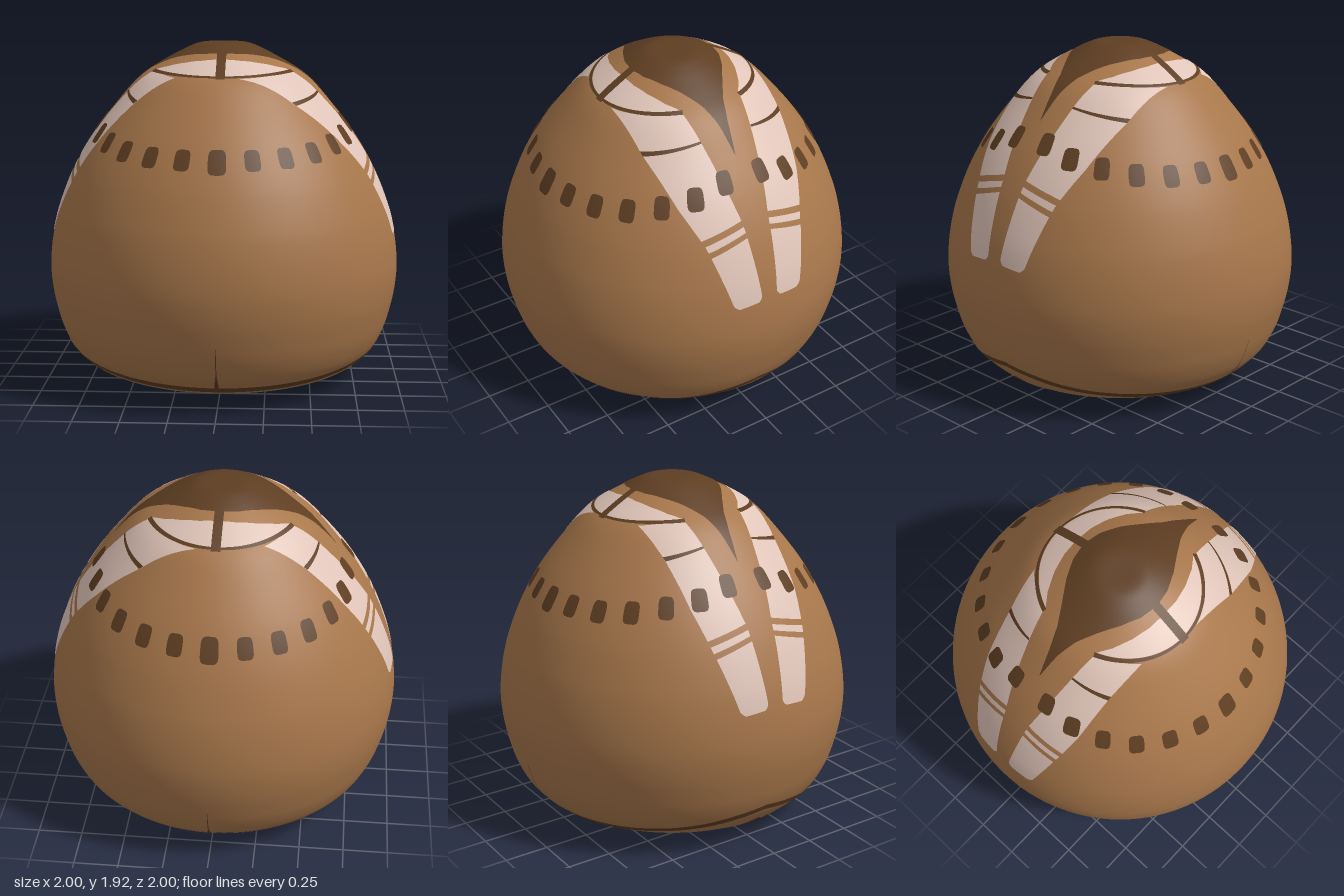
import * as THREE from 'three';

const mat = (name, color) => {
  const m = new THREE.MeshStandardMaterial({ color, side: THREE.DoubleSide });
  m.name = name;
  return m;
};

// Piecewise linear lookup through [x, value] pairs with ascending x
const lut = (pts) => (x) => {
  let i = 1;
  while (i < pts.length - 1 && x > pts[i][0]) i++;
  const [a, b] = [pts[i - 1], pts[i]];
  const t = THREE.MathUtils.clamp((x - a[0]) / (b[0] - a[0]), 0, 1);
  return a[1] + (b[1] - a[1]) * t;
};
const lerp = THREE.MathUtils.lerp;

// Shell profile, radius and height, from the open base to the crown
const BULGE = 0.65, HOLE = 0.283;
const profile = new THREE.CatmullRomCurve3([
  [HOLE, 0.004], [0.5, 0.03], [0.68, 0.06], [0.78, 0.1], [0.84, 0.15], [0.885, 0.2], [0.935, 0.3],
  [0.965, 0.4], [0.99, 0.52], [1, BULGE], [0.99, 0.78], [0.968, 0.9], [0.94, 1], [0.86, 1.2], [0.745, 1.4],
  [0.59, 1.6], [0.5, 1.7], [0.44, 1.75], [0.36, 1.8], [0.27, 1.85], [0.2, 1.885], [0.13, 1.91], [0, 1.913],
].map(([r, y]) => new THREE.Vector3(r, y, 0))).getSpacedPoints(160);

// Point on the profile, raised along its normal
function raised(i, t, angle, lift) {
  const a = profile[i], b = profile[i + 1];
  const n = new THREE.Vector2(b.y - a.y, a.x - b.x).normalize();
  const r = Math.max(0, lerp(a.x, b.x, t) + n.x * lift);
  return new THREE.Vector3(r * Math.sin(angle), lerp(a.y, b.y, t) + n.y * lift, r * Math.cos(angle));
}

// Angle is measured from the front (+z) towards +x
function atHeight(angle, y, lift) {
  let i = 0;
  while (i < profile.length - 2 && profile[i + 1].y < y) i++;
  const t = (y - profile[i].y) / (profile[i + 1].y - profile[i].y);
  return raised(i, THREE.MathUtils.clamp(t, 0, 1), angle, lift);
}

// Drops a plan position onto the upper or lower half of the shell
function atPlan(x, z, upper, lift) {
  const r = Math.hypot(x, z), angle = Math.atan2(x, z);
  let i = upper ? profile.length - 2 : 0;
  if (upper) while (i > 0 && profile[i].x < r) i--;
  else while (profile[i + 1].x < r && profile[i + 1].y < BULGE) i++;
  const t = (r - profile[i].x) / (profile[i + 1].x - profile[i].x);
  return raised(i, THREE.MathUtils.clamp(t, 0, 1), angle, lift);
}

// Projects a side-view position onto the +x or -x flank
function atSide(side, y, z, lift) {
  const r = atHeight(0, y, 0).z;
  return atHeight(side * Math.acos(THREE.MathUtils.clamp(z / r, -1, 1)), y, lift);
}

// Painted patch: a grid whose points all lie on the shell
function patch(parent, name, material, nu, nv, fn) {
  const pos = [], index = [];
  for (let j = 0; j <= nv; j++) for (let i = 0; i <= nu; i++) {
    pos.push(...fn(i / nu, j / nv).toArray());
    if (i < nu && j < nv) {
      const a = j * (nu + 1) + i, b = a + nu + 1;
      index.push(a, a + 1, b, b, a + 1, b + 1);
    }
  }
  const g = new THREE.BufferGeometry();
  g.setAttribute('position', new THREE.Float32BufferAttribute(pos, 3));
  g.setIndex(index);
  g.computeVertexNormals();
  const mesh = new THREE.Mesh(g, material);
  mesh.name = name;
  parent.add(mesh);
}

export function createModel() {
  const model = new THREE.Group();
  model.name = 'domedShell';
  const tan = mat('tan shell', 0xa8774b);
  const brown = mat('brown markings', 0x5e3e22);
  const pink = mat('pale pink bands', 0xe0c5b9);

  // Hollow shell, open at the base
  const shell = new THREE.Mesh(
    new THREE.LatheGeometry(profile.map((p) => new THREE.Vector2(Math.max(0, p.x), p.y)), 128), tan);
  shell.name = 'shell';
  model.add(shell);

  // Seam that peaks on both flanks, with a thin spike at front and back
  const seamHeight = lut([[0, 0.25], [0.2, 0.222], [0.38, 0.19], [0.55, 0.165], [0.75, 0.142], [1, 0.122]]);
  patch(model, 'seam', brown, 160, 4, (u, v) => {
    const a = u * Math.PI * 2;
    return atHeight(a, seamHeight(Math.abs(Math.cos(a))) + lerp(-0.017, 0.018, v), 0.003);
  });
  const spikeWidth = lut([[0.12, 0.016], [0.19, 0.009], [0.23, 0.003], [0.39, 0.0015]]);
  for (const a of [0, Math.PI]) {
    patch(model, 'seamSpike', brown, 2, 16, (u, v) => {
      const y = lerp(0.12, 0.39, v);
      return atHeight(a + (u * 2 - 1) * spikeWidth(y), y, 0.003);
    });
  }

  // Pointed lens on the underside, around the opening
  for (const sz of [1, -1]) {
    patch(model, 'undersideLens', brown, 170, 20, (u, v) => {
      const s = u * 2 - 1, x = 0.85 * s;
      const inner = Math.sqrt(Math.max(0, HOLE * HOLE - x * x));
      return atPlan(x, sz * lerp(inner, 0.53 * (1 - Math.abs(s) ** 2.2), v), false, 0.003);
    });
  }

  // Pointed crown patch
  const crownZ = lut([[0, 0.255], [0.1, 0.237], [0.2, 0.19], [0.3, 0.125], [0.4, 0.065], [0.5, 0.028], [0.62, 0]]);
  patch(model, 'crown', brown, 100, 40, (u, v) => {
    const x = 0.62 * (u * 2 - 1);
    return atPlan(x, crownZ(Math.abs(x)) * (v * 2 - 1), true, 0.003);
  });

  // Collar pieces and flank bands, mirrored in x and z
  const collarInner = lut([[0, 0.305], [0.1, 0.3], [0.2, 0.275], [0.3, 0.23], [0.37, 0.18]]);
  const collarR = (x) => 0.44 - 0.03 * (x / 0.37) ** 2;
  const bandInner = lut([[0.86, 0.045], [1.28, 0.08], [1.52, 0.13], [1.7, 0.165], [1.8, 0.19]]);
  const outerLeft = lut([[0.86, 0.21], [1.2, 0.3], [1.38, 0.375], [1.6, 0.435], [1.75, 0.445]]);
  const outerRight = lut([[0.86, 0.21], [1.2, 0.3], [1.38, 0.34], [1.6, 0.36], [1.75, 0.385]]);
  for (const sx of [1, -1]) for (const sz of [1, -1]) {
    const quarter = new THREE.Group();
    quarter.name = (sz > 0 ? 'front' : 'back') + (sx > 0 ? 'Left' : 'Right') + 'Band';
    model.add(quarter);
    patch(quarter, 'collarPiece', pink, 30, 12, (u, v) => {
      const x = lerp(0.02, 0.37, u);
      return atPlan(sx * x, sz * lerp(collarInner(x), Math.sqrt(collarR(x) ** 2 - x * x), v), true, 0.003);
    });
    patch(quarter, 'collarEdge', brown, 30, 2, (u, v) => {
      const a = u * 1.14, r = collarR(0.41 * Math.sin(a)) + lerp(0.012, 0.022, u) * v;
      return atPlan(sx * r * Math.sin(a), sz * r * Math.cos(a), true, 0.005);
    });

    // Band pieces: top and bottom heights at the inner and outer edges
    const outer = sx > 0 ? outerLeft : outerRight;
    const piece = (name, m, lift, top, bottom, rounded = 0) =>
      patch(quarter, name, m, 16, 30, (u, v) => {
        const y = lerp(lerp(top[0], top[1], u), lerp(bottom[0], bottom[1], u), v);
        const inset = rounded * Math.max(0, (v - 0.9) / 0.1) ** 2;
        return atSide(sx, y, sz * lerp(bandInner(y), outer(y), lerp(inset, 1 - inset, u)), lift);
      });
    piece('upperBand', pink, 0.003, [1.77, 1.738], [1.295, 1.235]);
    piece('bandLine', brown, 0.005, [1.654, 1.612], [1.645, 1.594]);
    piece('middleBand', pink, 0.003, [1.265, 1.207], [1.235, 1.175]);
    piece('lowerBand', pink, 0.003, [1.21, 1.148], [0.86, 0.85], 0.15);
  }
  for (const sz of [1, -1]) {
    patch(model, 'collarBar', brown, 2, 12, (u, v) =>
      atPlan(0.025 * (u * 2 - 1), sz * lerp(0.245, 0.46, v), true, 0.006));
  }

  // Rows of rounded spots across front and back, rising towards the flanks
  const spotY = [1.335, 1.342, 1.347, 1.362, 1.39, 1.422, 1.472];
  const soft = (c) => Math.sign(c) * Math.sqrt(Math.abs(c));
  for (const facing of [0, Math.PI]) for (let k = -6; k <= 6; k++) {
    const level = Math.abs(k);
    const angle = facing + THREE.MathUtils.degToRad(13.45 * k);
    const h = level === 0 ? 0.062 : 0.052;
    const w = level === 0 || level > 4 ? 0.046 : 0.041;
    patch(model, 'spot', brown, 32, 4, (u, v) => {
      const t = u * Math.PI * 2;
      const y = spotY[level] + v * h * soft(Math.sin(t));
      return atHeight(angle + (v * w * soft(Math.cos(t))) / 0.76, y, 0.006);
    });
  }
  return model;
}
